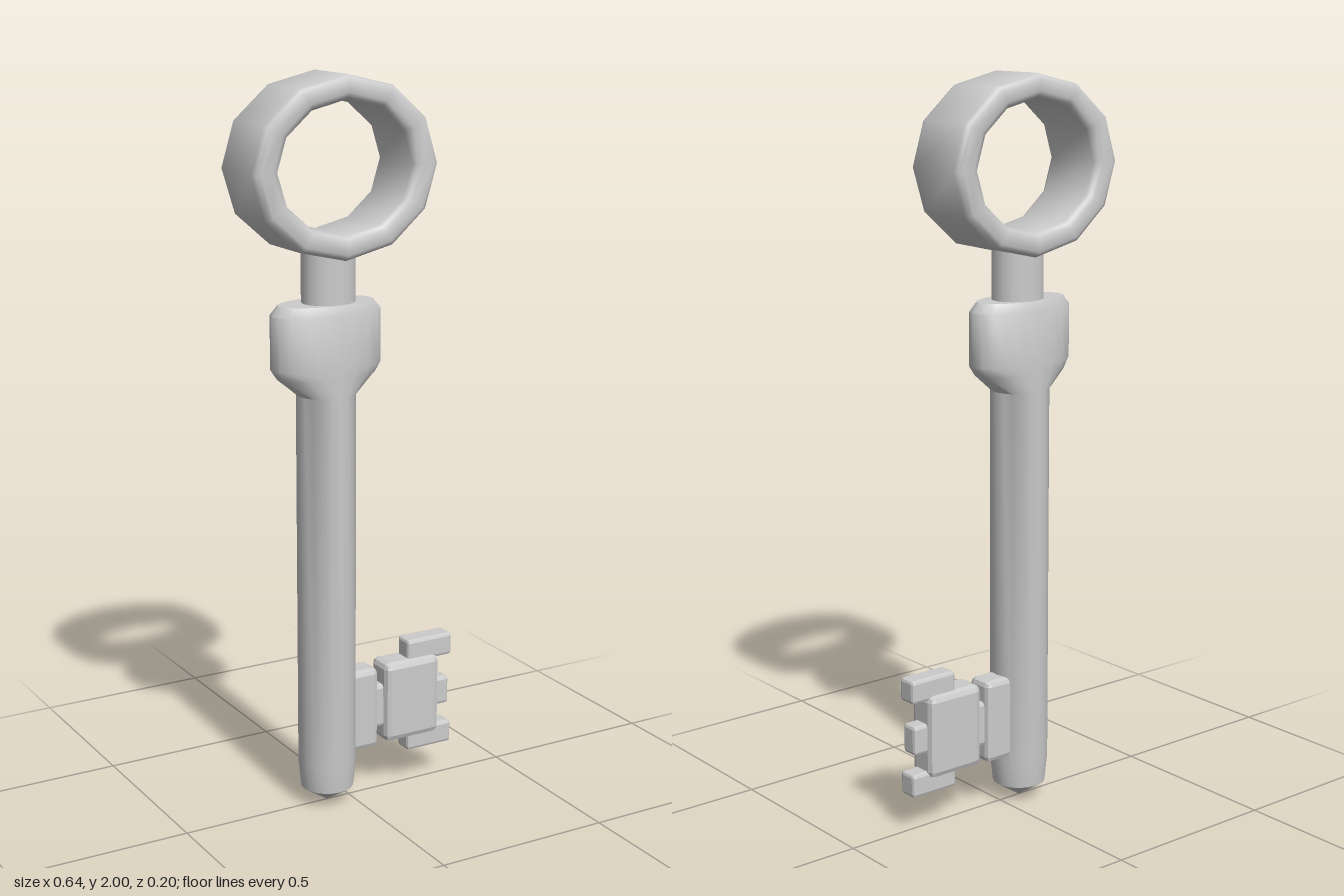
import * as THREE from 'three';
import { toCreasedNormals } from 'three/addons/utils/BufferGeometryUtils.js';
import { RoundedBoxGeometry } from 'three/addons/geometries/RoundedBoxGeometry.js';

const smoothGrey = new THREE.MeshStandardMaterial({ color: 0xcccccc });
const flatGrey = new THREE.MeshStandardMaterial({ color: 0xcccccc, flatShading: true });

function addMesh(group, name, geometry, material) {
  const mesh = new THREE.Mesh(geometry, material);
  mesh.name = name;
  group.add(mesh);
  return mesh;
}

// Box with chamfered edges, given by its extents in x and y and its depth in z
function chamferBox(group, name, x0, x1, y0, y1, depth, chamfer) {
  const geometry = new RoundedBoxGeometry(x1 - x0, y1 - y0, depth, 1, chamfer);
  addMesh(group, name, geometry, flatGrey).position.set((x0 + x1) / 2, (y0 + y1) / 2, -0.002);
}

// Stack of elliptical sections; each row is [half width x, half depth z, height y]
function ellipticalLoft(rows, sides) {
  const geometry = new THREE.LatheGeometry(rows.map(([rx, , y]) => new THREE.Vector2(rx, y)), sides);
  const pos = geometry.attributes.position;
  for (let i = 0; i < pos.count; i++) {
    const [rx, rz] = rows[i % rows.length];
    if (rx > 0) pos.setZ(i, pos.getZ(i) * rz / rx);
  }
  return toCreasedNormals(geometry, 0.7);
}

export function createModel() {
  const key = new THREE.Group();
  key.name = 'key';

  // Twelve-sided oval handle ring with softened rims
  const ringProfile = [
    [0.252, -0.1], [0.264, -0.094], [0.27, -0.082],
    [0.27, 0.082], [0.264, 0.094], [0.252, 0.1],
    [0.218, 0.1], [0.204, 0.094], [0.197, 0.082],
    [0.197, -0.082], [0.204, -0.094], [0.218, -0.1], [0.252, -0.1],
  ].map(([r, y]) => new THREE.Vector2(r, y));
  const ringGeometry = toCreasedNormals(new THREE.LatheGeometry(ringProfile, 12), 0.8);
  ringGeometry.rotateX(Math.PI / 2);
  ringGeometry.scale(1, 0.875, 1);
  addMesh(key, 'handleRing', ringGeometry, smoothGrey).position.set(-0.053, 1.764, 0);

  // Neck between ring and collar
  const neckGeometry = new THREE.CylinderGeometry(0.074, 0.074, 0.16, 16);
  neckGeometry.scale(1, 1, 0.85);
  addMesh(key, 'neck', neckGeometry, smoothGrey).position.set(-0.06, 1.475, 0);

  // Shaft with blunt tip, flaring sideways into the flat collar
  const shaftGeometry = ellipticalLoft([
    [0, 0, 0], [0.073, 0.073, 0.048], [0.08, 0.08, 0.12],
    [0.08, 0.08, 1.165], [0.142, 0.08, 1.215], [0.16, 0.08, 1.24],
    [0.16, 0.08, 1.385], [0.138, 0.07, 1.41], [0, 0, 1.41],
  ], 20);
  addMesh(key, 'shaftAndCollar', shaftGeometry, smoothGrey).position.x = -0.068;

  // Key bit: base plate, bridge, main block and three teeth
  const bit = new THREE.Group();
  bit.name = 'bit';
  chamferBox(bit, 'basePlate', -0.03, 0.077, 0.14, 0.373, 0.08, 0.015);
  chamferBox(bit, 'bridge', 0.05, 0.13, 0.19, 0.315, 0.05, 0.01);
  chamferBox(bit, 'mainBlock', 0.1, 0.273, 0.145, 0.378, 0.09, 0.018);
  chamferBox(bit, 'upperTooth', 0.178, 0.322, 0.365, 0.43, 0.058, 0.009);
  chamferBox(bit, 'middleTooth', 0.22, 0.315, 0.218, 0.3, 0.052, 0.009);
  chamferBox(bit, 'lowerTooth', 0.178, 0.322, 0.1, 0.165, 0.058, 0.009);
  key.add(bit);

  return key;
}
